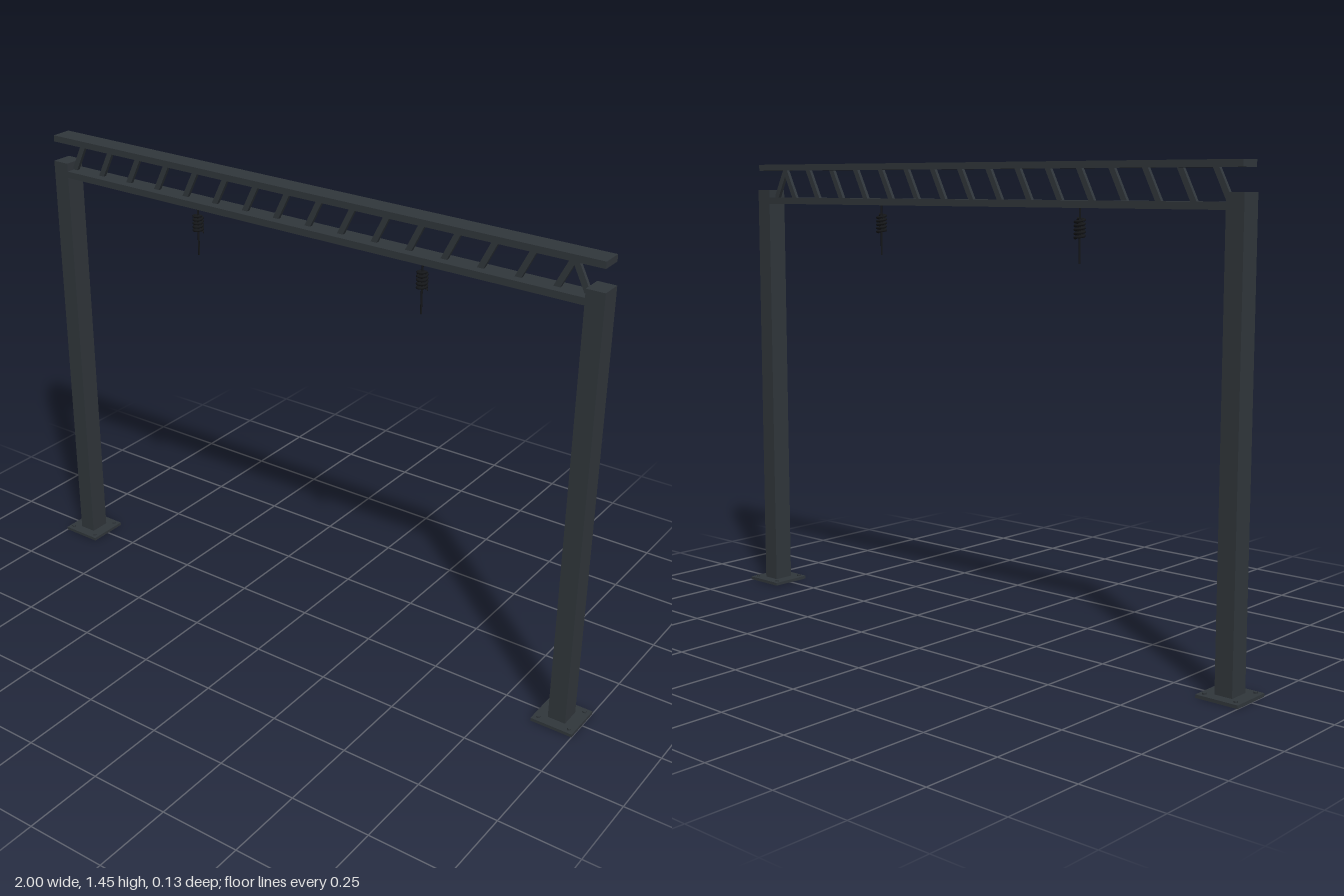
import * as THREE from 'three';

export function createModel() {
  const model = new THREE.Group();
  model.name = 'swingFrame';

  const steel = new THREE.MeshStandardMaterial({ color: 0x31373c });
  steel.name = 'dark steel';
  const black = new THREE.MeshStandardMaterial({ color: 0x15171a });
  black.name = 'black iron';

  const add = (parent, name, geometry, material, x, y, z) => {
    const mesh = new THREE.Mesh(geometry, material);
    mesh.name = name;
    mesh.position.set(x, y, z);
    parent.add(mesh);
    return mesh;
  };
  const box = (w, h, d) => new THREE.BoxGeometry(w, h, d);

  // Posts with bolted base plates
  const boltGeometry = new THREE.CylinderGeometry(0.006, 0.006, 0.006, 6);
  for (const side of [-1, 1]) {
    const post = new THREE.Group();
    post.name = side > 0 ? 'leftPost' : 'rightPost';
    post.position.x = side * 0.933;
    add(post, 'basePlate', box(0.134, 0.01, 0.134), steel, 0, 0.005, 0);
    add(post, 'column', box(0.056, 1.351, 0.066), steel, 0, 0.6855, 0);
    for (const x of [-0.05, 0.05]) {
      for (const z of [-0.05, 0.05]) add(post, 'bolt', boltGeometry, steel, x, 0.012, z);
    }
    model.add(post);
  }

  // Truss chords
  const truss = new THREE.Group();
  truss.name = 'truss';
  model.add(truss);
  const lowY = 1.335, highY = 1.425;
  add(truss, 'topChord', box(1.91, 0.02, 0.066), steel, 0, 1.435, 0);
  add(truss, 'bottomChord', box(1.815, 0.021, 0.066), steel, 0, 1.325, 0);

  // Slanted flat bars, cut level where they meet the chords
  const addBar = (bottomX, topX) => {
    const half = 0.01;
    const shape = new THREE.Shape([
      new THREE.Vector2(bottomX - half, lowY),
      new THREE.Vector2(bottomX + half, lowY),
      new THREE.Vector2(topX + half, highY),
      new THREE.Vector2(topX - half, highY),
    ]);
    const bar = new THREE.ExtrudeGeometry(shape, { depth: 0.011, bevelEnabled: false });
    add(truss, 'diagonalBar', bar, steel, 0, 0, -0.0055);
  };
  const bars = 16, pitch = 0.114;
  for (let i = 0; i < bars; i++) addBar(-0.9 + i * pitch, -0.855 + i * pitch);
  addBar(0.9, 0.855);

  // Hanging springs on thin rods
  const turns = 5, coilPoints = [];
  for (let i = 0; i <= turns * 12; i++) {
    const a = (i / 12) * Math.PI * 2;
    coilPoints.push(new THREE.Vector3(
      Math.cos(a) * 0.0135, 1.285 - (i / (turns * 12)) * 0.056, Math.sin(a) * 0.0135));
  }
  const coil = new THREE.TubeGeometry(new THREE.CatmullRomCurve3(coilPoints), 120, 0.0042, 6);
  const rod = new THREE.CylinderGeometry(0.003, 0.003, 0.162, 8);
  for (const x of [-0.4, 0.4]) {
    const hanger = new THREE.Group();
    hanger.name = x > 0 ? 'leftHanger' : 'rightHanger';
    hanger.position.x = x;
    add(hanger, 'spring', coil, black, 0, 0, 0);
    add(hanger, 'rod', rod, black, 0, 1.237, 0);
    model.add(hanger);
  }

  return model;
}
